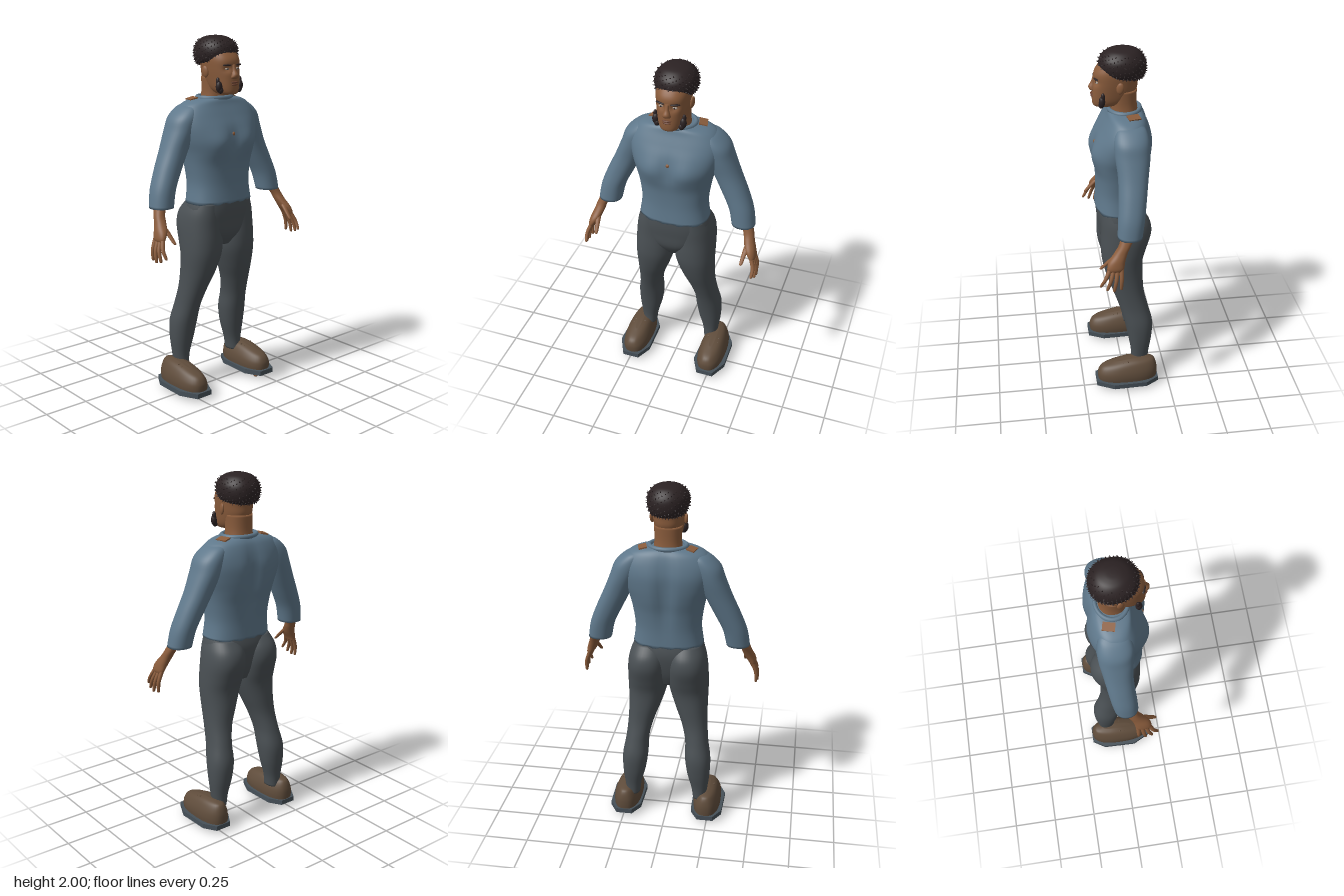
import * as THREE from 'three';
import { mergeGeometries } from 'three/addons/utils/BufferGeometryUtils.js';

const mat = (name, color) => Object.assign(new THREE.MeshStandardMaterial({ color }), { name });
const M = {
  sweater: mat('slate blue knit', 0x5f788b), pants: mat('charcoal cloth', 0x4a5054),
  skin: mat('brown skin', 0x8a5c3c), lip: mat('dark lip', 0x68402f),
  hair: mat('black brown hair', 0x2b2223), shoe: mat('brown leather', 0x5f4c3b),
  sole: mat('grey rubber', 0x465058), eye: mat('eye white', 0xa89a8c),
};

const bump = (d, w) => Math.exp(-((d / w) ** 2));
const spow = (v, e) => Math.sign(v) * Math.abs(v) ** e;

// Smooth closed body through level rings [y, xMin, xMax, zBack, zFront], listed upwards.
function loft(rings, { side = 1, power = 2.2, steps = 5, seg = 36, shape } = {}) {
  const n = rings.length, pos = [], idx = [], rows = (n - 1) * steps + 1;
  const at = (i) => rings[Math.max(0, Math.min(n - 1, i))];
  const v = new THREE.Vector3();
  const put = (x, y, z) => {
    v.set(x * side, y, z);
    if (shape) shape(v);
    pos.push(v.x, v.y, v.z);
  };
  const levels = [];
  for (let r = 0; r < rows; r++) {
    const i = Math.min(n - 2, Math.floor(r / steps)), t = r / steps - i;
    levels.push(rings[0].map((_, k) => {
      const [a, b, c, d] = [at(i - 1)[k], at(i)[k], at(i + 1)[k], at(i + 2)[k]];
      return b + 0.5 * t * (c - a + t * (2 * a - 5 * b + 4 * c - d + t * (3 * (b - c) + d - a)));
    }));
  }
  for (const [y, x0, x1, z0, z1] of levels) {
    for (let j = 0; j < seg; j++) {
      const a = (j / seg) * Math.PI * 2 * side;
      put((x0 + x1) / 2 + ((x1 - x0) / 2) * spow(Math.cos(a), 2 / power), y,
        (z0 + z1) / 2 + ((z1 - z0) / 2) * spow(Math.sin(a), 2 / power));
    }
  }
  for (const [y, x0, x1, z0, z1] of [levels[0], levels[rows - 1]]) put((x0 + x1) / 2, y, (z0 + z1) / 2);
  const tri = (a, b, c) => idx.push(a, b, c);
  // mirrored bodies run their angle backwards, so the winding stays the same on screen
  const flip = (a, b, c) => tri(a, b, c);
  for (let j = 0; j < seg; j++) {
    const k = (j + 1) % seg, top = (rows - 1) * seg;
    for (let r = 0; r < rows - 1; r++) {
      const a = r * seg + j, b = r * seg + k;
      const cw = [[a, a + seg, b], [b, a + seg, b + seg]];
      for (const f of cw) flip(...f);
    }
    flip(rows * seg, j, k);
    flip(rows * seg + 1, top + k, top + j);
  }
  // with side = -1, x and the angle are both mirrored, so turn faces outward by a volume test
  let vol = 0;
  const p = (i) => new THREE.Vector3().fromArray(pos, i * 3);
  for (let i = 0; i < idx.length; i += 3) vol += p(idx[i]).dot(p(idx[i + 1]).cross(p(idx[i + 2])));
  if (vol < 0) idx.reverse();
  const g = new THREE.BufferGeometry();
  g.setAttribute('position', new THREE.Float32BufferAttribute(pos, 3));
  g.setIndex(idx);
  g.computeVertexNormals();
  return g;
}

// Rings symmetric about x = 0: [y, halfWidth, zBack, zFront]
const centred = (rows) => rows.map(([y, w, b, f]) => [y, -w, w, b, f]);
// Round rings along a path: [x, y, z, radius], listed upwards
const round = (rows) => rows.map(([x, y, z, r]) => [y, x - r, x + r, z - r, z + r]);
const ball = (x, y, z, rx, ry, rz) => new THREE.SphereGeometry(1, 20, 14).scale(rx, ry, rz).translate(x, y, z);

export function createModel() {
  const model = new THREE.Group();
  model.name = 'standingMan';
  const add = (name, geo, material) => {
    const m = new THREE.Mesh(geo, material);
    m.name = name;
    model.add(m);
    return m;
  };

  // Sweater body with chest, spine groove and uneven hem
  add('sweaterBody', loft(centred([
    [1.1, 0.196, -0.118, 0.145], [1.2, 0.184, -0.12, 0.137], [1.3, 0.195, -0.132, 0.14],
    [1.38, 0.212, -0.15, 0.152], [1.45, 0.235, -0.16, 0.152], [1.52, 0.25, -0.162, 0.135],
    [1.58, 0.248, -0.15, 0.107], [1.63, 0.215, -0.132, 0.082], [1.655, 0.17, -0.115, 0.072], [1.667, 0.11, -0.1, 0.065],
  ]), { power: 2.5, seg: 64, shape: (v) => {
    if (v.z > 0.03) v.z += bump(v.y - 1.44, 0.07) * (0.018 * bump(Math.abs(v.x) - 0.1, 0.07) - 0.01 * bump(v.x, 0.03));
    if (v.z < -0.03) v.z += 0.024 * bump(v.x, 0.04) * bump(v.y - 1.43, 0.18);
    if (v.y < 1.11) v.y += 0.005 * Math.sin(v.x * 75);
  } }), M.sweater);
  const collar = new THREE.TorusGeometry(0.1, 0.013, 10, 40).rotateX(Math.PI / 2).scale(1, 1, 0.84);
  add('collar', collar.translate(0, 1.668, -0.02), M.sweater);
  add('chestButton', ball(0, 1.48, 0.139, 0.011, 0.011, 0.008), M.skin);

  // Hips
  add('hips', loft(centred([
    [0.85, 0.06, -0.07, 0.08], [0.92, 0.15, -0.1, 0.122], [1.0, 0.2, -0.118, 0.132],
    [1.06, 0.204, -0.122, 0.137], [1.12, 0.188, -0.11, 0.136],
  ]), { power: 2.4 }), M.pants);

  for (const side of [1, -1]) {
    const s = side > 0 ? 'left' : 'right';
    const both = (name, rings, material, opt = {}) => add(s + name, loft(rings, { side, ...opt }), material);

    // Arms and hands
    both('Sleeve', [
      [1.105, 0.325, 0.455, -0.065, 0.066], [1.2, 0.303, 0.438, -0.08, 0.06], [1.3, 0.255, 0.4, -0.095, 0.052],
      [1.4, 0.205, 0.355, -0.11, 0.05], [1.5, 0.16, 0.314, -0.125, 0.06], [1.57, 0.13, 0.287, -0.125, 0.062],
      [1.62, 0.12, 0.235, -0.11, 0.045], [1.642, 0.13, 0.19, -0.08, 0.02],
    ], M.sweater);
    both('ForearmAndPalm', [
      [0.945, 0.46, 0.485, 0.05, 0.125], [0.965, 0.45, 0.492, 0.042, 0.132], [1.0, 0.428, 0.485, 0.035, 0.122],
      [1.04, 0.412, 0.47, 0.02, 0.09], [1.08, 0.4, 0.458, 0.0, 0.064], [1.14, 0.365, 0.435, -0.035, 0.045],
    ], M.skin);
    const tips = [[0.488, 0.87, 0.165], [0.498, 0.852, 0.132], [0.5, 0.843, 0.097], [0.494, 0.848, 0.06]];
    tips.forEach(([x, y, z], i) => {
      const kz = 0.118 - i * 0.021;
      both('Finger' + (i + 1), round([
        [x, y - 0.004, z, 0.002], [x, y + 0.004, z, 0.008], [(x + 0.484) / 2 + 0.004, (y + 0.96) / 2, (z + kz) / 2, 0.0105],
        [0.472, 0.965, kz, 0.012], [0.465, 0.99, kz - 0.005, 0.01],
      ]), M.skin, { seg: 12, steps: 4 });
    });
    both('Thumb', round([
      [0.424, 0.937, 0.162, 0.002], [0.426, 0.945, 0.157, 0.009], [0.43, 0.975, 0.128, 0.012],
      [0.438, 1.01, 0.092, 0.016], [0.445, 1.03, 0.07, 0.012],
    ]), M.skin, { seg: 14 });

    // Trouser legs
    both('TrouserLeg', [
      [0.13, 0.16, 0.236, -0.135, -0.035], [0.2, 0.15, 0.246, -0.14, -0.036], [0.3, 0.124, 0.257, -0.156, -0.02],
      [0.4, 0.11, 0.257, -0.16, 0], [0.5, 0.107, 0.24, -0.136, 0.026], [0.6, 0.083, 0.231, -0.113, 0.06],
      [0.7, 0.045, 0.228, -0.108, 0.096], [0.8, 0.012, 0.23, -0.11, 0.12], [0.88, 0, 0.23, -0.132, 0.125],
      [0.97, 0, 0.226, -0.157, 0.122], [1.04, 0.005, 0.214, -0.146, 0.122], [1.1, 0.02, 0.19, -0.1, 0.12],
    ], M.pants);

    // Shoe upper, lower towards the toe
    both('ShoeUpper', [
      [0.045, 0.162, 0.318, -0.182, 0.164], [0.08, 0.16, 0.32, -0.184, 0.166], [0.115, 0.166, 0.314, -0.182, 0.163],
      [0.15, 0.182, 0.298, -0.172, 0.148], [0.168, 0.2, 0.28, -0.155, 0.12], [0.177, 0.225, 0.255, -0.11, 0.06],
    ], M.shoe, { power: 2.5, shape: (v) => {
      v.y -= (v.y - 0.045) * 0.26 * THREE.MathUtils.smoothstep(v.z, -0.06, 0.17);
    } });
    const outline = (path, w, l) => path.setFromPoints([[0.5, -1], [0.95, -0.6], [1, 0.45], [0.5, 1], [-0.5, 1], [-0.95, 0.5],
      [-0.9, -0.6], [-0.45, -1]].map(([x, y]) => new THREE.Vector2(x * w * side, y * l)));
    const rim = outline(new THREE.Shape(), 0.098, 0.181);
    rim.holes.push(outline(new THREE.Path(), 0.058, 0.14));
    add(s + 'Sole', new THREE.ExtrudeGeometry(rim, { depth: 0.028, bevelEnabled: false })
      .rotateX(Math.PI / 2).translate(0.24 * side, 0.052, -0.005), M.sole);
    // Bare foot showing through the open sole
    both('FootUnderside', [
      [0.004, 0.215, 0.265, -0.12, 0.075], [0.012, 0.195, 0.285, -0.138, 0.105], [0.05, 0.19, 0.29, -0.14, 0.12],
    ], M.skin, { shape: (v) => { v.y += 0.012 * bump(v.z + 0.02, 0.045); } });
    const toes = [0, 1, 2, 3, 4].map((i) => ball(side * (0.202 + i * 0.019), 0.014, 0.118 - i * 0.007, 0.0105, 0.014, 0.02));
    add(s + 'Toes', mergeGeometries(toes), M.skin);
    // Laces
    const laces = [0, 1, 2, 3].map((i) => new THREE.CylinderGeometry(0.003, 0.003, 0.08 - i * 0.006, 6)
      .rotateZ(Math.PI / 2).translate(side * 0.24, 0.167 - i * 0.007, -0.01 + i * 0.027));
    add(s + 'Laces', mergeGeometries(laces), M.shoe);

    // Bare shoulder patch beside the collar
    add(s + 'ShoulderPatch', new THREE.BoxGeometry(0.045, 0.008, 0.065)
      .rotateZ(-0.22 * side).rotateY(0.25 * side).translate(0.133 * side, 1.664, -0.053), M.skin);

    // Ear, eye, brow and beard tuft
    add(s + 'Ear', ball(0, 0, 0, 0.01, 0.031, 0.02).rotateX(-0.15).rotateY(-0.3 * side)
      .translate(0.091 * side, 1.81, 0.012), M.skin);
    add(s + 'Eye', ball(0.036 * side, 1.828, 0.126, 0.014, 0.006, 0.008), M.eye);
    add(s + 'Pupil', ball(0.036 * side, 1.828, 0.132, 0.005, 0.005, 0.003), M.hair);
    add(s + 'Brow', ball(0, 0, 0, 0.026, 0.005, 0.008).rotateY(0.3 * side).translate(0.04 * side, 1.848, 0.132), M.hair);
    add(s + 'BeardTuft', mergeGeometries([
      ball(0.074 * side, 1.735, 0.105, 0.018, 0.03, 0.017), ball(0.078 * side, 1.762, 0.1, 0.01, 0.022, 0.011),
      ball(0.066 * side, 1.715, 0.108, 0.016, 0.018, 0.015),
    ]), M.hair);
  }

  // Neck and head with eye sockets
  add('neck', loft(centred([[1.63, 0.082, -0.095, 0.055], [1.7, 0.073, -0.086, 0.055], [1.78, 0.076, -0.086, 0.06]])), M.skin);
  add('head', loft(centred([
    [1.69, 0.025, 0.06, 0.125], [1.697, 0.05, 0.01, 0.145], [1.725, 0.068, -0.045, 0.15], [1.78, 0.08, -0.084, 0.148],
    [1.83, 0.087, -0.09, 0.143], [1.88, 0.09, -0.1, 0.136], [1.93, 0.083, -0.095, 0.1],
  ]), { seg: 64, power: 2.3, shape: (v) => {
    if (v.z > 0.05) v.z -= 0.014 * bump(Math.abs(v.x) - 0.036, 0.02) * bump(v.y - 1.828, 0.016);
  } }), M.skin);
  add('nose', loft(centred([
    [1.774, 0.012, 0.12, 0.15], [1.782, 0.023, 0.12, 0.163], [1.798, 0.019, 0.12, 0.168],
    [1.82, 0.012, 0.12, 0.155], [1.85, 0.012, 0.11, 0.145],
  ]), { seg: 20 }), M.skin);
  add('lips', mergeGeometries([ball(0, 1.757, 0.146, 0.026, 0.006, 0.012), ball(0, 1.745, 0.145, 0.022, 0.006, 0.012)]), M.lip);

  // Hair cap, lower at the back, covered in short curls
  const hair = loft(centred([
    [1.875, 0.094, -0.105, 0.1], [1.89, 0.105, -0.124, 0.111], [1.92, 0.112, -0.134, 0.114], [1.955, 0.105, -0.128, 0.103],
    [1.985, 0.075, -0.096, 0.07], [1.997, 0.04, -0.055, 0.035], [2.0, 0.01, -0.02, 0.005],
  ]), { seg: 40, power: 2.1, shape: (v) => { v.y += (v.z - 0.1) * 0.17 * ((2 - v.y) / 0.12); } });
  add('hairCap', hair, M.hair);
  const p = hair.attributes.position, nrm = hair.attributes.normal, curls = [];
  const up = new THREE.Vector3(0, 1, 0), at = new THREE.Vector3(), dir = new THREE.Vector3();
  for (let i = 0; i < p.count; i += 3) {
    at.fromBufferAttribute(p, i);
    if (at.y > 1.975) continue;
    dir.fromBufferAttribute(nrm, i).add(new THREE.Vector3(Math.sin(i * 2.3), Math.sin(i * 1.7), Math.sin(i * 3.1)).multiplyScalar(0.35)).normalize();
    const q = new THREE.Quaternion().setFromUnitVectors(up, dir);
    curls.push(new THREE.ConeGeometry(0.005, 0.014, 5).translate(0, 0.003, 0).applyQuaternion(q).translate(at.x, at.y, at.z));
  }
  add('hairCurls', mergeGeometries(curls), M.hair);
  return model;
}
